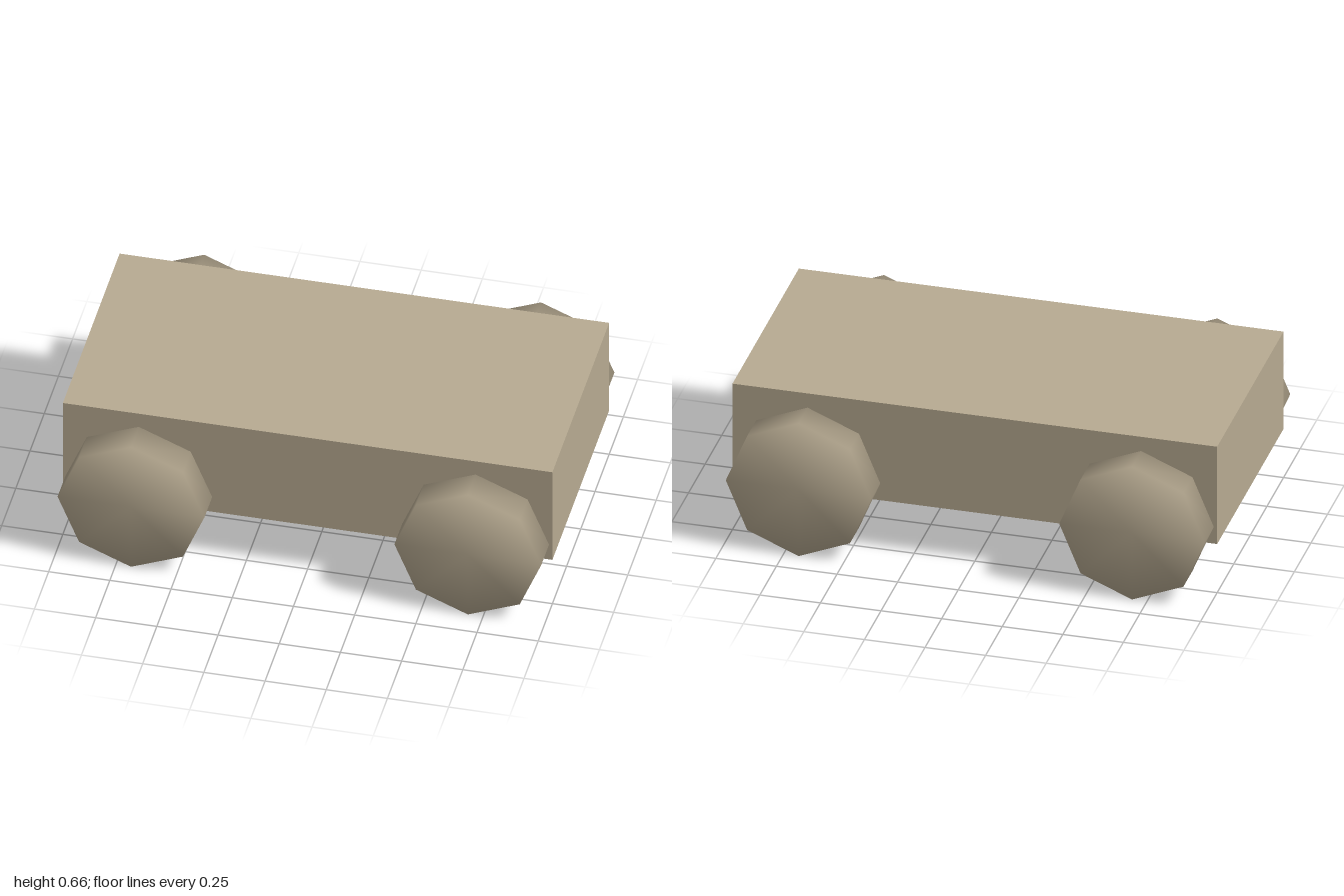
import * as THREE from 'three';
import { mergeVertices } from 'three/addons/utils/BufferGeometryUtils.js';

export function createModel() {
  const model = new THREE.Group();
  model.name = 'cart';
  const tan = new THREE.MeshStandardMaterial({ color: 0xb8ab92 });
  tan.name = 'tan';

  // Plain box body
  const body = new THREE.Mesh(new THREE.BoxGeometry(2, 0.44, 1), tan);
  body.name = 'body';
  body.position.y = 0.44;
  model.add(body);

  // Eight-sided wheel, welded so the shading runs smoothly over the rim
  let wheelShape = new THREE.CylinderGeometry(0.3, 0.3, 0.137, 8).rotateX(Math.PI / 2);
  wheelShape.deleteAttribute('normal');
  wheelShape.deleteAttribute('uv');
  wheelShape = mergeVertices(wheelShape, 1e-3);
  wheelShape.computeVertexNormals();

  for (const [side, x] of [['Left', 0.688], ['Right', -0.688]]) {
    for (const [end, z] of [['front', 0.576], ['back', -0.576]]) {
      const wheel = new THREE.Mesh(wheelShape, tan);
      wheel.name = `${end}${side}Wheel`;
      wheel.position.set(x, 0.3, z);
      model.add(wheel);
    }
  }
  return model;
}
